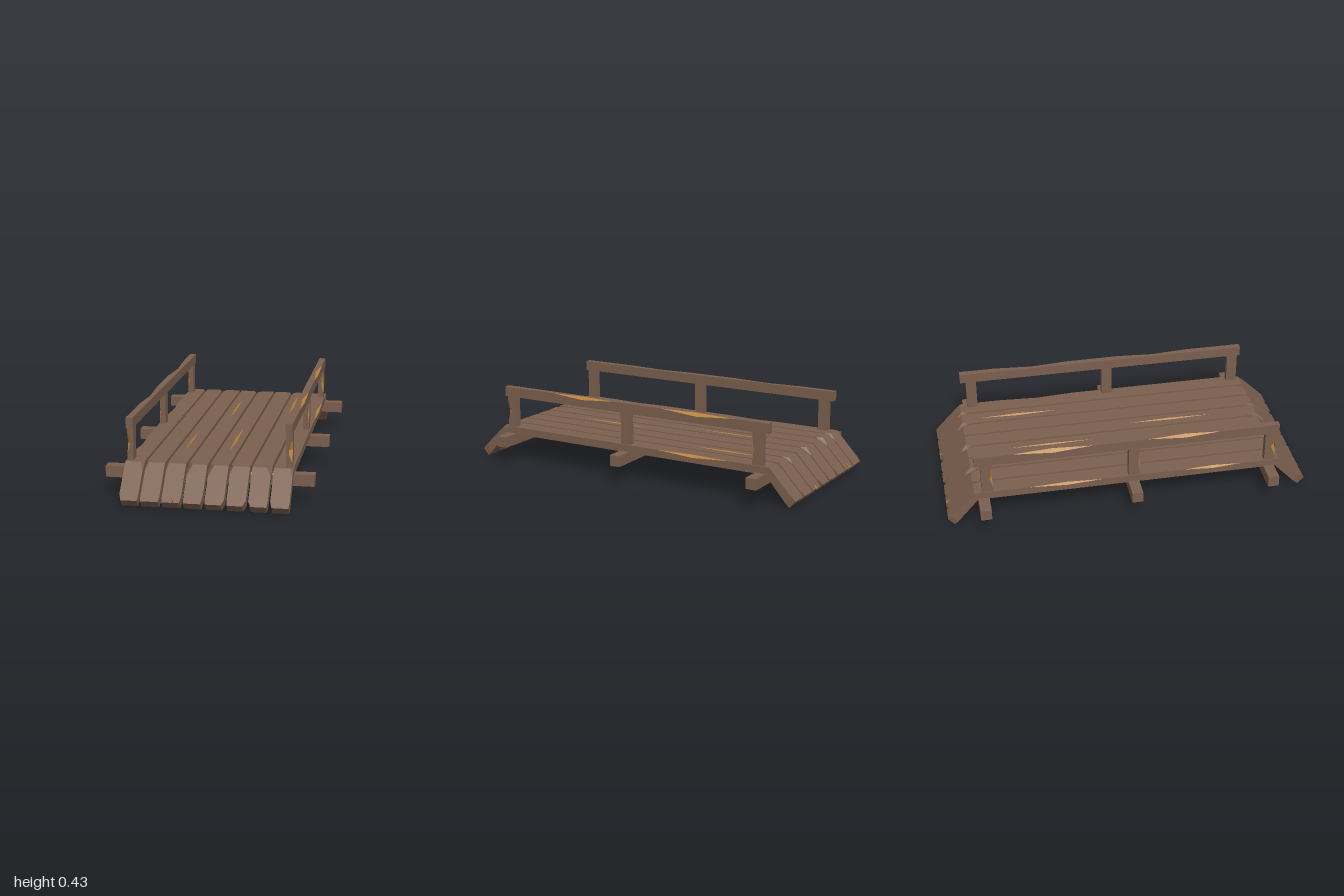
import * as THREE from 'three';

const wood = new THREE.MeshStandardMaterial({ color: 0x7a5f4e, flatShading: true });
const rawWood = new THREE.MeshStandardMaterial({ color: 0xb9853c, flatShading: true });

let seed = 11;
const rand = () => (seed = (seed * 16807) % 2147483647) / 2147483647;

// Cross-section of a timber: a rectangle with optional bevels (cL, cR) on its
// two top edges and an optional V groove (g wide at gx) in its top face.
function section(s, width) {
  const { top, bot, cL = 0, cR = 0, g = 0, gx = 0, nL = 0, nR = 0 } = s;
  const l = -width / 2 + nL, r = width / 2 - nR;
  const thick = Math.hypot(top[0] - bot[0], top[1] - bot[1]);
  const at = (x, depth) => {
    const t = depth / thick;
    return [x, top[1] + (bot[1] - top[1]) * t, top[0] + (bot[0] - top[0]) * t];
  };
  return [at(l, thick), at(r, thick), at(r, cR), at(r - cR, 0), at(gx + g, 0),
    at(gx, g * 1.5), at(gx - g, 0), at(l + cL, 0), at(l, cL)];
}

// Skins a timber through stations ordered from back to front.
// Bevels and grooves beside a station marked raw show the pale inner wood.
function timber(name, stations, width) {
  const brown = [], pale = [];
  const loops = stations.map(s => section(s, width));
  const n = loops[0].length;
  for (let k = 0; k < loops.length - 1; k++) {
    const a = loops[k], b = loops[k + 1];
    const raw = stations[k].raw || stations[k + 1].raw;
    for (let i = 0; i < n; i++) {
      const j = (i + 1) % n;
      const list = raw && [2, 4, 5, 7].includes(i) ? pale : brown;
      list.push(...a[i], ...a[j], ...b[j], ...a[i], ...b[j], ...b[i]);
    }
  }
  const back = loops[0], front = loops[loops.length - 1];
  for (let i = 1; i < n - 1; i++) {
    brown.push(...front[0], ...front[i], ...front[i + 1]);
    brown.push(...back[0], ...back[i + 1], ...back[i]);
  }
  const group = new THREE.Group();
  group.name = name;
  [[brown, wood, 'timber'], [pale, rawWood, 'chips']].forEach(([pos, mat, part]) => {
    if (!pos.length) return;
    const geo = new THREE.BufferGeometry();
    geo.setAttribute('position', new THREE.Float32BufferAttribute(pos, 3));
    geo.computeVertexNormals();
    const mesh = new THREE.Mesh(geo, mat);
    mesh.name = part;
    group.add(mesh);
  });
  return group;
}

// Each flaw is [start, end, station settings at its deepest point].
function flawStations(flaws, yTop, yBot) {
  return flaws.flatMap(([z0, z1, deep]) => {
    const st = (z, extra) => ({ top: [z, yTop], bot: [z, yBot], gx: deep.gx, ...extra });
    return [st(z0), st(z0 + (z1 - z0) * 0.5, { ...deep, raw: true }), st(z1)];
  });
}

// Straight beam centred on its own height, running along z.
function beam(name, z0, z1, width, height, flaws = []) {
  const h = height / 2;
  const end = z => ({ top: [z, h], bot: [z, -h] });
  return timber(name, [end(z0), ...flawStations(flaws, h, -h), end(z1)], width);
}

// Sloping end of a plank, listed from the deck down to the ground.
function ramp(dir, split) {
  const knee = dir > 0 ? 0.838 : 0.85;
  const topKnee = [knee, 0.197], botKnee = [knee - 0.02, 0.155];
  const topTip = [1, 0.038], botTip = [0.965, 0];
  const mix = (a, b, t) => [dir * (a[0] + (b[0] - a[0]) * t), a[1] + (b[1] - a[1]) * t];
  const st = (t, extra) => ({ top: mix(topKnee, topTip, t), bot: mix(botKnee, botTip, t), ...extra });
  const left = rand() > 0.5;
  const wear = (0.008 + rand() * 0.016), nick = 0.004 + rand() * 0.012;
  return [
    { top: [dir * (knee - 0.035), 0.197], bot: [dir * (knee - 0.035), 0.155] },
    st(0, left ? { cL: wear } : { cR: wear }),
    st(0.2 + rand() * 0.1),
    st(0.8 + rand() * 0.08),
    st(1, { nL: left ? nick * 0.3 : nick, nR: left ? nick : nick * 0.3, ...split }),
  ];
}

export function createModel() {
  const bridge = new THREE.Group();
  bridge.name = 'woodenBridge';

  // Deck planks with splits, keyed by plank number from the right side
  const splits = {
    0: [[-0.55, -0.15, { cL: 0.012 }], [0.3, 0.62, { cL: 0.012 }]],
    2: [[0.18, 0.58, { g: 0.006, gx: -0.01 }]],
    3: [[-0.62, -0.14, { g: 0.008, gx: -0.003 }]],
    4: [[0.08, 0.57, { g: 0.01, gx: 0.005 }]],
    6: [[-0.75, -0.3, { g: 0.011, gx: -0.005 }]],
    7: [[-0.62, -0.18, { cR: 0.014 }]],
  };
  const backTips = { 1: { g: 0.008, gx: -0.01, raw: true }, 5: { g: 0.009, gx: 0, raw: true } };
  const frontTips = { 2: { g: 0.005, gx: 0.01 } };
  for (let i = 0; i < 8; i++) {
    const plank = timber('deckPlank', [
      ...ramp(-1, backTips[i]).reverse(),
      ...flawStations(splits[i] || [], 0.197, 0.155),
      ...ramp(1, frontTips[i]),
    ], 0.098);
    plank.position.x = -0.381 + i * 0.11;
    bridge.add(plank);
  }

  // Cross beams under the deck
  for (const z of [-0.8, 0.02, 0.782]) {
    const chips = z > 0.5 ? [[-0.3, -0.1, { cL: 0.014 }], [0.15, 0.38, { cL: 0.018 }]]
      : [[-0.2, 0.1, { cR: 0.012 }]];
    const cross = beam('crossBeam', -0.543, 0.543, 0.06, 0.06, chips);
    cross.rotation.y = Math.PI / 2;
    cross.position.set(0, 0.13, z);
    bridge.add(cross);
  }

  // Handrails and posts on both sides
  for (const side of [-1, 1]) {
    const x = side > 0 ? 0.413 : -0.409;
    const outer = side > 0 ? 'cR' : 'cL';
    const rail = beam('handrail', -0.84, 0.83, 0.036, 0.055, [
      [-0.64, -0.2, { [outer]: 0.018 }],
      [0.1, 0.5, { [outer]: 0.016 }],
    ]);
    rail.position.set(x, 0.398, 0);
    bridge.add(rail);

    [[-0.778, 0.014], [0.022, 0.007], [0.785, 0.026]].forEach(([z, chip]) => {
      const corner = side > 0 ? 'cL' : 'cR';
      const post = beam('railPost', 0.19, 0.375, 0.033, 0.06,
        [[0.22, 0.35, { [corner]: chip }]]);
      post.rotation.set(-Math.PI / 2, 0, Math.PI);
      post.position.set(x, 0, z);
      bridge.add(post);
    });
  }
  return bridge;
}
